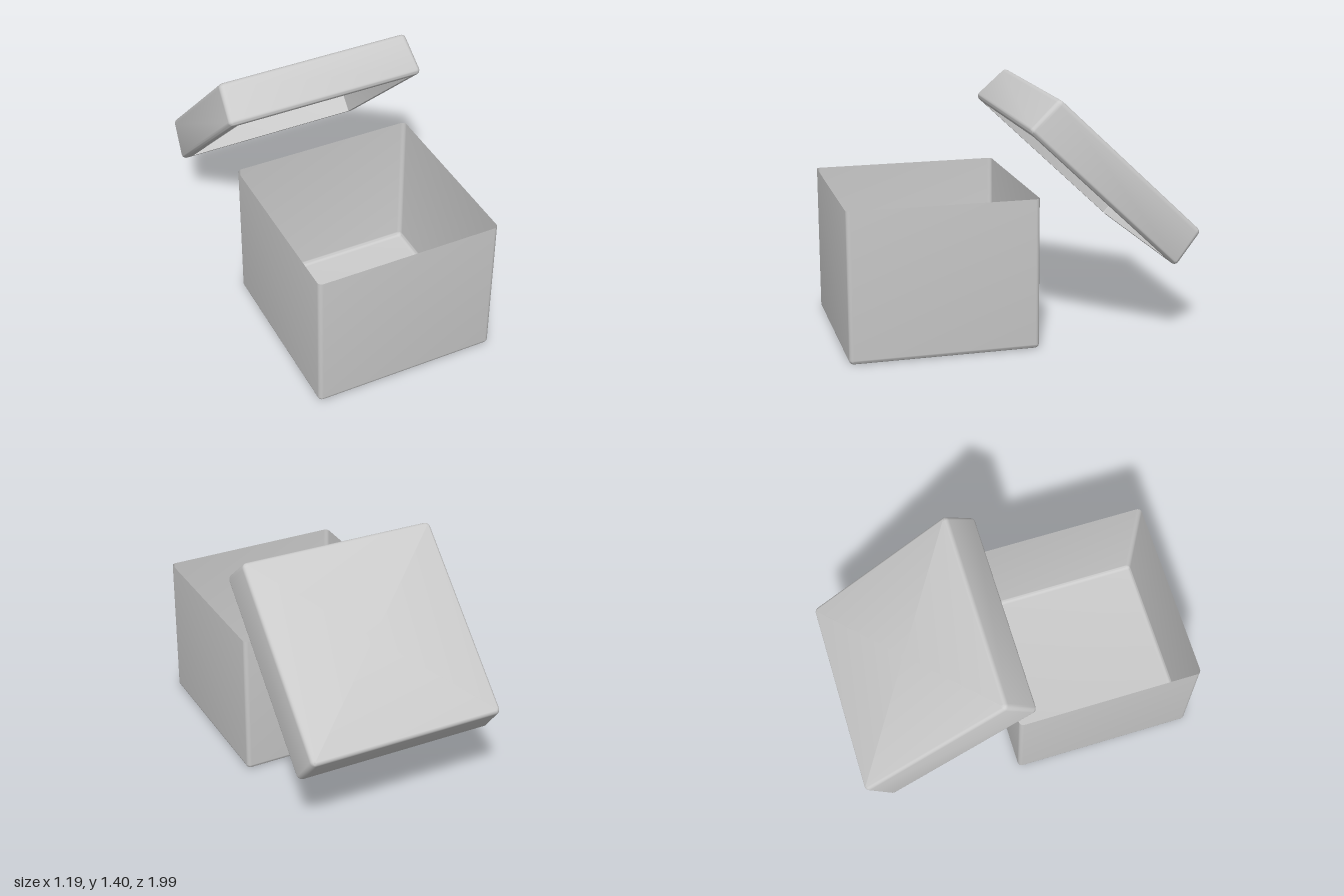
import * as THREE from 'three';
import { toCreasedNormals } from 'three/addons/utils/BufferGeometryUtils.js';

const CORNER_STEPS = 6;

// Square outline with rounded corners, half-size h, corner radius r, at height y
function ring(h, r, y) {
  const pts = [];
  for (let q = 0; q < 4; q++) {
    const mid = Math.PI / 4 + q * Math.PI / 2;
    const cx = Math.sign(Math.cos(mid)) * (h - r);
    const cz = Math.sign(Math.sin(mid)) * (h - r);
    for (let i = 0; i <= CORNER_STEPS; i++) {
      const a = (q + i / CORNER_STEPS) * Math.PI / 2;
      pts.push([cx + r * Math.cos(a), y, cz + r * Math.sin(a)]);
    }
  }
  return pts;
}

// Skin a stack of [halfSize, cornerRadius, y] sections
function loft(sections) {
  const rings = sections.map(([h, r, y]) => ring(h, r, y));
  const n = rings[0].length;
  const index = [];
  for (let i = 0; i < rings.length - 1; i++) {
    for (let j = 0; j < n; j++) {
      const k = (j + 1) % n;
      const a = i * n + j, b = (i + 1) * n + j, c = i * n + k, d = (i + 1) * n + k;
      if (sections[i][0] > 0) index.push(a, c, b);
      if (sections[i + 1][0] > 0) index.push(c, d, b);
    }
  }
  const geo = new THREE.BufferGeometry();
  geo.setAttribute('position', new THREE.Float32BufferAttribute(rings.flat(2), 3));
  geo.setIndex(index);
  return toCreasedNormals(geo, 0.7);
}

// Quarter-round sections of radius e, from angle a0 to a1, about the centre (h, y)
function bevel(h, y, e, a0, a1, corner) {
  const out = [];
  for (let i = 0; i <= 5; i++) {
    const a = a0 + (a1 - a0) * i / 5;
    const dx = e * Math.cos(a);
    out.push([h + dx, Math.max(corner - e + dx, 0.003), y + e * Math.sin(a)]);
  }
  return out;
}

export function createModel() {
  const model = new THREE.Group();
  const material = new THREE.MeshStandardMaterial({ color: 0xcccccc, side: THREE.DoubleSide });
  const Q = Math.PI / 2;

  // Open box: thin walls with rounded vertical and bottom edges
  const half = 0.535, edge = 0.025;
  const box = new THREE.Mesh(loft([
    [half, edge, 0.86],
    ...bevel(half - edge, edge, edge, 0, -Q, edge),
    [0, 0, 0],
  ]), material);
  box.name = 'openBox';
  box.position.set(0, 0, 0.465);
  model.add(box);

  // Lid: slightly flared, thick rim, hollow underneath
  const top = 0.578, rim = 0.592, t = 0.1225, e = 0.027, inner = 0.533;
  const lid = new THREE.Mesh(loft([
    [0, 0, t],
    ...bevel(top - e, t - e, e, Q, 0, 0.03),
    ...bevel(rim - e, -t + e, e, 0, -Q, 0.03),
    [inner, 0.004, -t],
    [inner, 0.004, t - 0.02],
    [0, 0, t - 0.02],
  ]), material);
  lid.name = 'lid';
  lid.position.set(0, 0.924, -0.5);
  lid.rotation.set(-0.759, 0, 0.005, 'ZXY');
  model.add(lid);

  return model;
}
